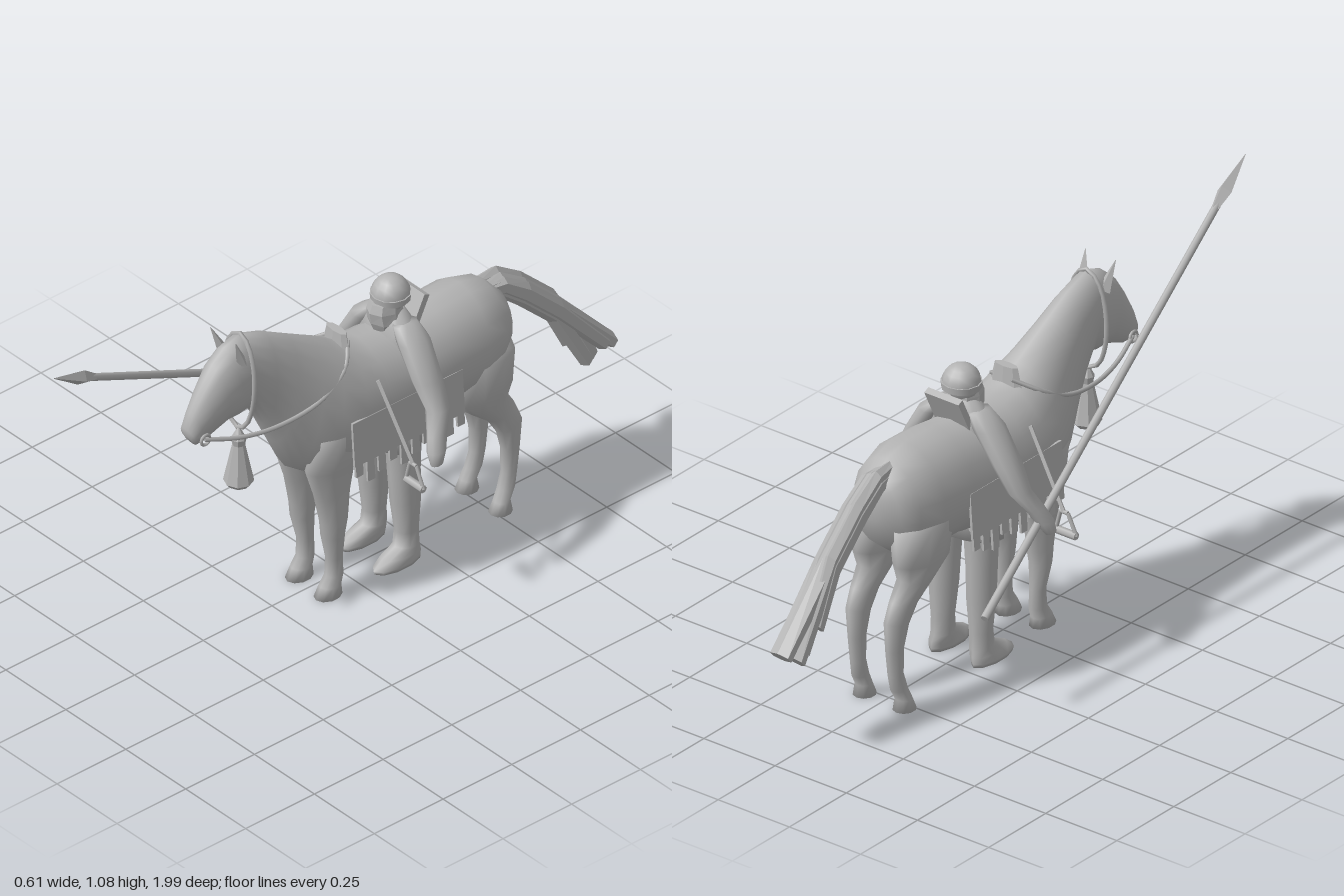
import * as THREE from 'three';

const stone = new THREE.MeshStandardMaterial({ color: 0xb4b4b4, side: THREE.DoubleSide });
stone.name = 'stoneGrey';
const facetedStone = stone.clone();
facetedStone.flatShading = true;
const V = (x, y, z) => new THREE.Vector3(x, y, z);

// Closed skin through elliptical sections: [z1, y1, z2, y2, halfWidth, x]
// where points 1 and 2 are the opposite ends of the section.
function loft(rows, sides = 14) {
  const pos = [], idx = [], n = rows.length;
  for (const [z1, y1, z2, y2, w, x = 0] of rows) {
    for (let i = 0; i < sides; i++) {
      const a = (i / sides) * Math.PI * 2, c = Math.cos(a) / 2;
      pos.push(x + w * Math.sin(a), (y1 + y2) / 2 + (y1 - y2) * c, (z1 + z2) / 2 + (z1 - z2) * c);
    }
  }
  for (const r of [rows[0], rows[n - 1]]) pos.push(r[5] || 0, (r[1] + r[3]) / 2, (r[0] + r[2]) / 2);
  for (let i = 0; i < sides; i++) {
    const j = (i + 1) % sides;
    for (let k = 0; k < n - 1; k++) {
      const a = k * sides + i, b = k * sides + j;
      idx.push(a, b, a + sides, b, b + sides, a + sides);
    }
    idx.push(n * sides, j, i, n * sides + 1, (n - 1) * sides + i, (n - 1) * sides + j);
  }
  // turn the faces outward
  let volume = 0;
  const p = (i) => V(pos[i * 3], pos[i * 3 + 1], pos[i * 3 + 2]);
  for (let i = 0; i < idx.length; i += 3) volume += p(idx[i]).dot(p(idx[i + 1]).cross(p(idx[i + 2])));
  if (volume < 0) idx.reverse();
  const g = new THREE.BufferGeometry();
  g.setAttribute('position', new THREE.Float32BufferAttribute(pos, 3));
  g.setIndex(idx);
  g.computeVertexNormals();
  return g;
}

const mirrorX = (rows, s) => rows.map(([a, b, c, d, w, x]) => [a, b, c, d, w, x * s]);

export function createModel() {
  const model = new THREE.Group();
  const add = (name, geometry, material = stone, parent = model) => {
    const m = new THREE.Mesh(geometry, material);
    m.name = name;
    parent.add(m);
    return m;
  };
  const tube = (name, points, r, closed = false) =>
    add(name, new THREE.TubeGeometry(new THREE.CatmullRomCurve3(points, closed), 24, r, 5, closed));
  // straight bar between two points
  const bar = (name, a, b, r1, r2 = r1, sides = 6, material = stone) => {
    const m = add(name, new THREE.CylinderGeometry(r2, r1, a.distanceTo(b), sides), material);
    m.position.copy(a).add(b).multiplyScalar(0.5);
    m.quaternion.setFromUnitVectors(V(0, 1, 0), b.clone().sub(a).normalize());
    return m;
  };

  // Horse body, neck and head in one skin
  add('horseBody', loft([
    [-0.572, 0.66, -0.57, 0.58, 0.03], [-0.555, 0.71, -0.55, 0.50, 0.085],
    [-0.51, 0.75, -0.5, 0.46, 0.118], [-0.43, 0.772, -0.42, 0.43, 0.14],
    [-0.3, 0.765, -0.3, 0.43, 0.143], [-0.2, 0.752, -0.2, 0.41, 0.143],
    [-0.06, 0.76, -0.08, 0.40, 0.143], [0, 0.775, 0.05, 0.40, 0.143],
    [0.06, 0.81, 0.15, 0.41, 0.128], [0.12, 0.845, 0.205, 0.45, 0.108],
    [0.2, 0.89, 0.26, 0.56, 0.085], [0.28, 0.935, 0.30, 0.64, 0.07],
    [0.37, 0.967, 0.345, 0.72, 0.06], [0.425, 0.948, 0.385, 0.712, 0.06],
    [0.47, 0.91, 0.43, 0.712, 0.056], [0.515, 0.845, 0.475, 0.695, 0.045],
    [0.55, 0.785, 0.51, 0.68, 0.035], [0.566, 0.74, 0.54, 0.68, 0.03],
    [0.56, 0.712, 0.548, 0.69, 0.015],
  ], 18));

  const foreLeg = [
    [0.18, 0.56, -0.02, 0.56, 0.06, 0.07], [0.18, 0.44, 0.01, 0.43, 0.046, 0.062],
    [0.145, 0.34, 0.03, 0.34, 0.04, 0.062], [0.125, 0.25, 0.04, 0.25, 0.036, 0.064],
    [0.12, 0.2, 0.05, 0.2, 0.033, 0.064], [0.102, 0.12, 0.052, 0.12, 0.024, 0.06],
    [0.105, 0.065, 0.05, 0.06, 0.025, 0.06], [0.125, 0.035, 0.058, 0.03, 0.028, 0.06],
    [0.142, 0, 0.055, 0, 0.034, 0.06],
  ];
  const hindLeg = [
    [-0.33, 0.56, -0.56, 0.56, 0.07, 0.07], [-0.345, 0.43, -0.555, 0.45, 0.055, 0.072],
    [-0.42, 0.365, -0.535, 0.40, 0.042, 0.07], [-0.475, 0.32, -0.57, 0.345, 0.034, 0.068],
    [-0.51, 0.265, -0.594, 0.29, 0.03, 0.067], [-0.528, 0.2, -0.588, 0.2, 0.024, 0.066],
    [-0.53, 0.12, -0.578, 0.12, 0.022, 0.066], [-0.515, 0.07, -0.568, 0.07, 0.024, 0.068],
    [-0.5, 0.035, -0.548, 0.035, 0.026, 0.07], [-0.485, 0, -0.555, 0, 0.033, 0.07],
  ];
  const riderLeg = [
    [-0.1, 0.5, -0.23, 0.5, 0.055, 0.06], [-0.12, 0.4, -0.225, 0.4, 0.05, 0.062],
    [-0.125, 0.3, -0.222, 0.3, 0.044, 0.064], [-0.132, 0.2, -0.222, 0.2, 0.042, 0.066],
    [-0.145, 0.1, -0.215, 0.1, 0.034, 0.067], [-0.138, 0.055, -0.218, 0.05, 0.033, 0.068],
    [-0.085, 0.035, -0.224, 0.03, 0.035, 0.072], [-0.055, 0.012, -0.224, 0.01, 0.036, 0.074],
    [-0.06, 0, -0.222, 0, 0.034, 0.074],
  ];
  const riderArm = [
    [-0.14, 0.785, -0.22, 0.785, 0.025, 0.06], [-0.13, 0.745, -0.232, 0.745, 0.042, 0.095],
    [-0.13, 0.65, -0.225, 0.65, 0.038, 0.155], [-0.14, 0.575, -0.215, 0.575, 0.03, 0.2],
    [-0.115, 0.52, -0.18, 0.52, 0.022, 0.232], [-0.1, 0.48, -0.16, 0.48, 0.024, 0.25],
    [-0.1, 0.445, -0.14, 0.445, 0.014, 0.263],
  ];

  for (const s of [1, -1]) {
    const side = s > 0 ? 'left' : 'right';
    add(side + 'ForeLeg', loft(mirrorX(foreLeg, s), 10));
    add(side + 'HindLeg', loft(mirrorX(hindLeg, s), 10));
    add(side + 'RiderLeg', loft(mirrorX(riderLeg, s), 10));
    add(side + 'RiderArm', loft(mirrorX(riderArm, s), 10));

    const ear = bar(side + 'Ear', V(s * 0.038, 0.905, 0.395), V(s * 0.053, 0.99, 0.428), 0.022, 0.001, 4, facetedStone);
    ear.scale.z = 0.8;

    // Saddle cloth with a ragged fringe
    const cloth = new THREE.Group();
    cloth.name = side + 'SaddleCloth';
    cloth.position.set(s * 0.143, 0.535, -0.12);
    cloth.rotation.z = s * 0.07;
    model.add(cloth);
    add('clothPanel', new THREE.BoxGeometry(0.008, 0.14, 0.4), facetedStone, cloth);
    for (let i = 0; i < 10; i++) {
      const h = 0.035 + 0.015 * (i % 3);
      add('clothFringe', new THREE.BoxGeometry(0.008, h, 0.026), facetedStone, cloth)
        .position.set(0, -0.07 - h / 2, -0.185 + i * 0.041);
    }

    // Stirrup strap and iron
    bar(side + 'StirrupStrap', V(s * 0.12, 0.69, -0.03), V(s * 0.25, 0.47, -0.045), 0.007, 0.007, 4, facetedStone);
    const iron = [V(0.238, 0.472, -0.045), V(0.264, 0.472, -0.045), V(0.294, 0.41, -0.045), V(0.222, 0.41, -0.045)];
    iron.forEach((p, i) => {
      const q = iron[(i + 1) % 4];
      bar(side + 'StirrupIron', V(p.x * s, p.y, p.z), V(q.x * s, q.y, q.z), i === 2 ? 0.012 : 0.006);
    });

    // Reins and bit ring
    tube(side + 'Rein', [V(s * 0.035, 0.705, 0.525), V(s * 0.065, 0.68, 0.42), V(s * 0.088, 0.675, 0.3),
      V(s * 0.1, 0.7, 0.16), V(s * 0.085, 0.75, 0.06), V(s * 0.03, 0.79, 0.0)], 0.007);
    const ring = add(side + 'BitRing', new THREE.TorusGeometry(0.016, 0.005, 5, 10));
    ring.position.set(s * 0.038, 0.705, 0.525);
    ring.rotation.y = Math.PI / 2;
  }

  // Bridle strap round the throat, with a hanging tassel
  const strap = [];
  for (let i = 0; i < 12; i++) {
    const a = (i / 12) * Math.PI * 2;
    strap.push(V(0.066 * Math.sin(a), 0.815 + 0.155 * Math.cos(a), 0.372 - 0.005 * Math.cos(a)));
  }
  tube('throatStrap', strap, 0.007, true);
  const tassel = add('tassel', new THREE.LatheGeometry(
    [[0, 0.465], [0.03, 0.475], [0.043, 0.49], [0.018, 0.61], [0.022, 0.63], [0.013, 0.648], [0, 0.67]]
      .map(([r, y]) => new THREE.Vector2(r, y)), 8), facetedStone);
  tassel.position.set(0.01, 0, 0.38);

  // Tail: overlapping tapered locks with uneven ends
  [[0, 0, -0.99, 0.345, 0.03], [-0.018, 0.012, -0.94, 0.315, 0.02], [0.016, -0.006, -0.955, 0.36, 0.022],
    [0.004, -0.022, -0.9, 0.325, 0.026], [-0.026, -0.008, -0.86, 0.39, 0.014]].forEach(([x, dy, ez, ey, w]) => {
    add('tailLock', loft([
      [-0.49, 0.735 + dy, -0.49, 0.70 + dy, w * 0.8, x * 0.5],
      [-0.58, 0.735 + dy, -0.57, 0.68 + dy, w, x],
      [-0.67, 0.675 + dy, -0.64, 0.62 + dy, w * 1.1, x],
      [-0.79, 0.56 + dy, -0.755, 0.51 + dy, w * 1.15, x],
      [ez, ey, ez + 0.03, ey - 0.035, w * 1.2, x],
    ], 6), facetedStone);
  });

  // Saddle: pommel and raked back
  const pommel = add('saddlePommel', new THREE.CylinderGeometry(0.04, 0.06, 0.08, 8), facetedStone);
  pommel.position.set(0, 0.782, 0.015);
  pommel.scale.z = 0.35;
  const cantle = add('saddleBack', new THREE.BoxGeometry(0.12, 0.11, 0.02), facetedStone);
  cantle.position.set(0, 0.79, -0.238);
  cantle.rotation.x = -0.45;

  // Rider: tunic, scarf, face and cap
  add('riderTunic', loft([
    [-0.145, 0.81, -0.215, 0.81, 0.035], [-0.13, 0.775, -0.23, 0.775, 0.085],
    [-0.12, 0.72, -0.235, 0.72, 0.105], [-0.12, 0.56, -0.23, 0.56, 0.09],
    [-0.1, 0.46, -0.235, 0.46, 0.115], [-0.09, 0.385, -0.24, 0.395, 0.125],
  ]));
  add('riderScarf', loft([
    [-0.115, 0.84, -0.21, 0.84, 0.04], [-0.105, 0.815, -0.215, 0.81, 0.046],
    [-0.11, 0.78, -0.22, 0.77, 0.05], [-0.12, 0.755, -0.21, 0.755, 0.04],
  ], 8), facetedStone);
  const face = add('riderFace', new THREE.SphereGeometry(0.046, 12, 8));
  face.position.set(0, 0.84, -0.175);
  const cap = add('riderCap', new THREE.SphereGeometry(0.056, 12, 5, 0, Math.PI * 2, 0, Math.PI / 2));
  cap.position.set(0, 0.852, -0.182);
  const brim = add('capBrim', new THREE.CylinderGeometry(0.059, 0.057, 0.02, 12));
  brim.position.set(0, 0.847, -0.182);

  // Lance carried in the right hand
  const butt = V(-0.295, 0.325, -0.45), tip = V(-0.055, 1.08, 0.995);
  const along = (t) => butt.clone().lerp(tip, t);
  bar('lanceShaft', butt, along(0.9), 0.012, 0.011, 8);
  bar('lanceSocket', along(0.88), along(0.92), 0.011, 0.023, 4, facetedStone);
  bar('lancePoint', along(0.92), tip, 0.023, 0.001, 4, facetedStone);

  return model;
}
